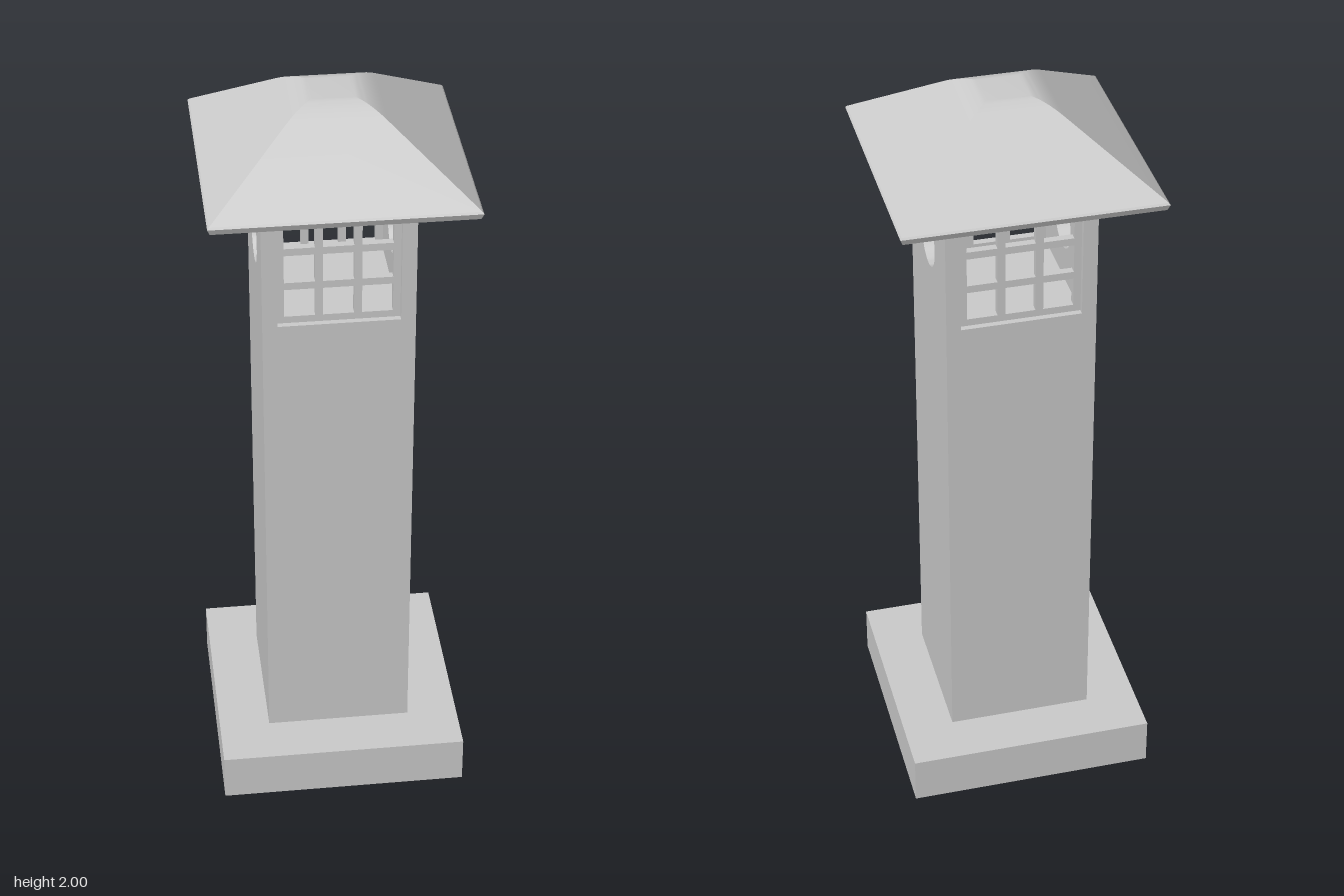
import * as THREE from 'three';
import { toCreasedNormals } from 'three/addons/utils/BufferGeometryUtils.js';

const H = 0.194;              // half width of the shaft
const WIN = 0.156;            // half width of the window opening
const WALL = H - WIN;         // thickness of the lantern side walls
const SILL = 1.441, HEAD = 1.754, EAVE = 1.797;

export function createModel() {
  const model = new THREE.Group();
  model.name = 'stoneLantern';
  const material = new THREE.MeshStandardMaterial({ color: 0xcccccc });

  const add = (name, geometry, x = 0, y = 0, z = 0) => {
    const mesh = new THREE.Mesh(geometry, material);
    mesh.name = name;
    mesh.position.set(x, y, z);
    model.add(mesh);
    return mesh;
  };
  const block = (name, half, y0, y1) =>
    add(name, new THREE.BoxGeometry(half * 2, y1 - y0, half * 2), 0, (y0 + y1) / 2, 0);

  const rectangle = (Type, x0, y0, x1, y1) => new Type([
    new THREE.Vector2(x0, y0), new THREE.Vector2(x1, y0),
    new THREE.Vector2(x1, y1), new THREE.Vector2(x0, y1),
  ]);

  // Plinth, shaft and the lintel above the openings
  block('base', 0.331, 0, 0.132);
  block('shaft', H, 0.132, SILL);
  block('lintel', H, HEAD, EAVE + 0.002);

  // Side walls of the hollow lantern chamber, each with a round opening
  const wallShape = rectangle(THREE.Shape, -H, SILL, H, HEAD);
  wallShape.holes.push(new THREE.Path().absarc(0, 1.602, 0.075, 0, Math.PI * 2, true));
  const wall = toCreasedNormals(new THREE.ExtrudeGeometry(wallShape,
    { depth: WALL, bevelEnabled: false, curveSegments: 32 }), 0.5);
  wall.rotateY(Math.PI / 2);
  add('leftWall', wall, WIN);
  add('rightWall', wall, -H);

  // Three by three lattices, recessed in the front and back openings
  const latticeShape = rectangle(THREE.Shape, -WIN, -WIN, WIN, WIN);
  for (const cx of [-0.098, 0, 0.098]) {
    for (const cy of [-0.098, 0, 0.098]) {
      latticeShape.holes.push(
        rectangle(THREE.Path, cx - 0.039, cy - 0.039, cx + 0.039, cy + 0.039));
    }
  }
  const lattice = new THREE.ExtrudeGeometry(latticeShape, { depth: 0.02, bevelEnabled: false });
  lattice.translate(0, 0, -0.01);
  add('frontLattice', lattice, 0, (SILL + HEAD) / 2, 0.169);
  add('backLattice', lattice, 0, (SILL + HEAD) / 2, -0.169);

  // Square hipped roof: thin eave, straight slopes, rounded shoulder, flat top
  const shoulder = new THREE.QuadraticBezierCurve(
    new THREE.Vector2(0.125, 1.968), new THREE.Vector2(0.082, 2), new THREE.Vector2(0.05, 2));
  const profile = [
    new THREE.Vector2(0, EAVE), new THREE.Vector2(0.326, EAVE),
    new THREE.Vector2(0.332, 1.813), new THREE.Vector2(0.328, 1.818),
    ...shoulder.getPoints(10), new THREE.Vector2(0, 2),
  ];
  for (const p of profile) p.x *= Math.SQRT2;
  const roof = new THREE.LatheGeometry(profile, 4, Math.PI / 4);
  add('roof', toCreasedNormals(roof, 0.2));

  return model;
}
